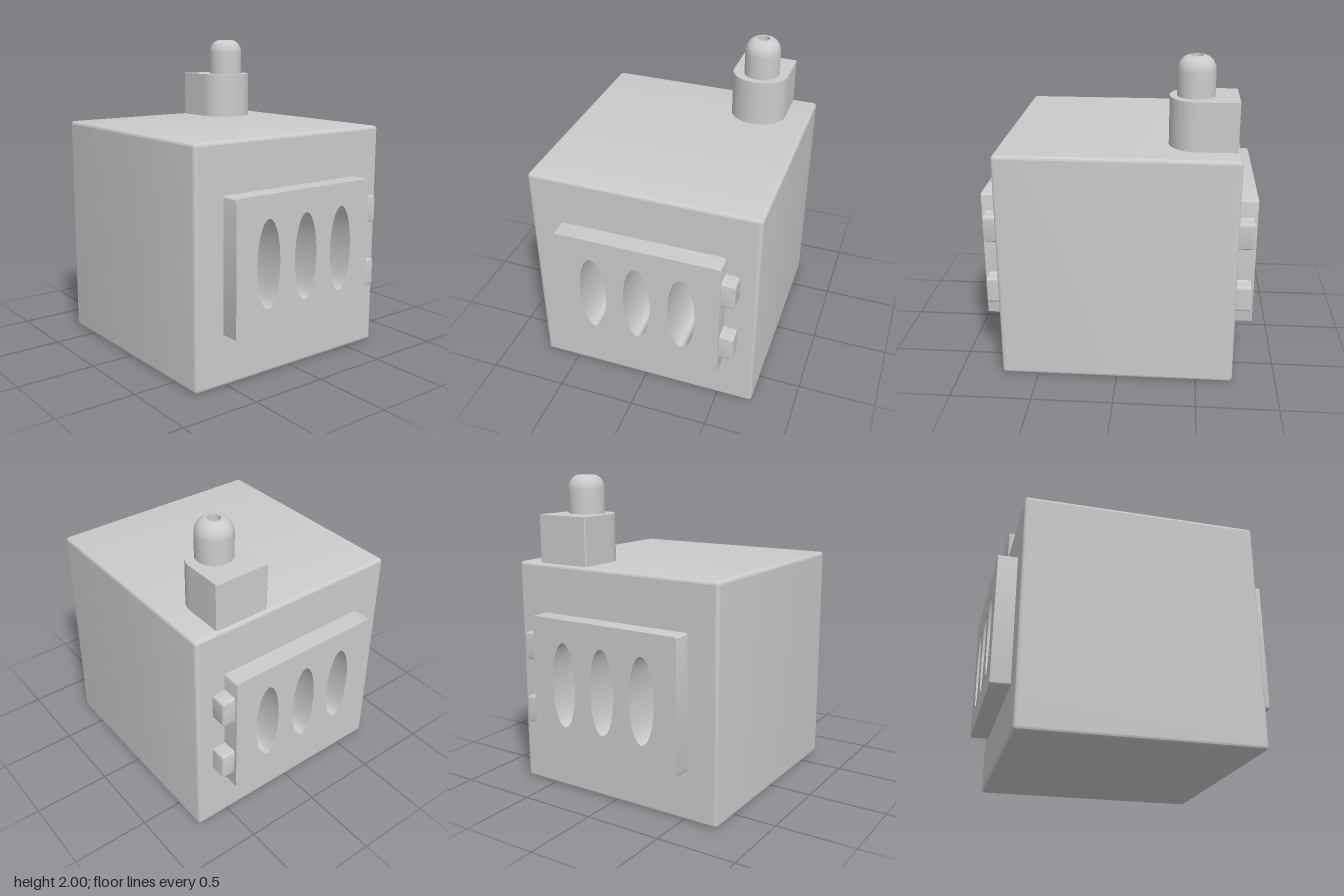
import * as THREE from 'three';
import { toCreasedNormals } from 'three/addons/utils/BufferGeometryUtils.js';

const HALF = 0.73, ROUND = 0.022, PANEL_OUT = 0.85, MID_Y = 0.735;
const SLOTS = [-0.29, 0, 0.29], SLOT_W = 0.087, SLOT_H = 0.27;

// Rounded rectangle outline from its corners
function roundRect(x0, y0, x1, y1, r) {
  const s = new THREE.Shape();
  s.absarc(x1 - r, y0 + r, r, -Math.PI / 2, 0);
  s.absarc(x1 - r, y1 - r, r, 0, Math.PI / 2);
  s.absarc(x0 + r, y1 - r, r, Math.PI / 2, Math.PI);
  s.absarc(x0 + r, y0 + r, r, Math.PI, Math.PI * 1.5);
  s.closePath();
  return s;
}

// Cut the three elliptical slots into a side outline
function addSlots(shape) {
  for (const u of SLOTS) {
    const hole = new THREE.Path();
    hole.absellipse(u, MID_Y, SLOT_W, SLOT_H, 0, Math.PI * 2, true);
    shape.holes.push(hole);
  }
  return shape;
}

// Extrude a side outline (u = -z, v = y) along x from x0 to x1
function extrudeX(shape, x0, x1, bevel = 0) {
  const g = new THREE.ExtrudeGeometry(shape, {
    depth: x1 - x0 - 2 * bevel, curveSegments: 24, bevelEnabled: bevel > 0,
    bevelSize: bevel, bevelThickness: bevel, bevelOffset: -bevel, bevelSegments: 4,
  });
  g.translate(0, 0, x0 + bevel);
  g.rotateY(Math.PI / 2);
  return g;
}

export function createModel() {
  const model = new THREE.Group();
  model.name = 'slottedBox';
  const grey = new THREE.MeshStandardMaterial({ color: 0xcccccc });
  const inside = new THREE.MeshStandardMaterial({ color: 0xcccccc, side: THREE.BackSide });
  const add = (name, geometry, material = grey, parent = model) => {
    const mesh = new THREE.Mesh(geometry, material);
    mesh.name = name;
    parent.add(mesh);
    return mesh;
  };
  const crease = (g, a = 0.5) => toCreasedNormals(g, a);

  // Body: rounded walls only, the end faces are added with their slots
  const full = extrudeX(roundRect(-HALF, 0, HALF, 2 * HALF, ROUND), -HALF, HALF, ROUND);
  const walls = new THREE.BufferGeometry();
  const { start, count } = full.groups[1];
  walls.setAttribute('position', new THREE.BufferAttribute(
    full.attributes.position.array.slice(start * 3, (start + count) * 3), 3));
  add('bodyWalls', crease(walls));
  for (const side of [1, -1]) {
    const e = HALF - ROUND;
    const face = addSlots(new THREE.Shape([
      new THREE.Vector2(-e, ROUND), new THREE.Vector2(e, ROUND),
      new THREE.Vector2(e, 2 * HALF - ROUND), new THREE.Vector2(-e, 2 * HALF - ROUND)]));
    const end = add('bodyEnd', new THREE.ShapeGeometry(face, 24));
    end.rotation.y = side * Math.PI / 2;
    end.position.x = side * HALF;
  }

  // Tunnels running right through the body
  for (const u of SLOTS) {
    const tunnel = new THREE.CylinderGeometry(1, 1, 2 * HALF, 48, 1, true);
    tunnel.rotateZ(Math.PI / 2);
    tunnel.scale(1, SLOT_H, SLOT_W);
    tunnel.translate(0, MID_Y, -u);
    add('slotTunnel', tunnel, inside);
  }

  // Hinge outline: flared root against the panel, rounded tip
  const hingeShape = (y0, y1) => {
    const s = new THREE.Shape();
    s.moveTo(0.50, y0 - 0.012);
    s.lineTo(0.528, y0 - 0.012);
    s.quadraticCurveTo(0.532, y0, 0.55, y0);
    s.lineTo(0.598, y0);
    s.quadraticCurveTo(0.616, y0, 0.616, y0 + 0.02);
    s.lineTo(0.616, y1 - 0.02);
    s.quadraticCurveTo(0.616, y1, 0.598, y1);
    s.lineTo(0.55, y1);
    s.quadraticCurveTo(0.532, y1, 0.528, y1 + 0.012);
    s.lineTo(0.50, y1 + 0.012);
    s.closePath();
    return s;
  };

  // Slotted panel with two hinges on each side
  for (const side of [1, -1]) {
    const door = new THREE.Group();
    door.name = side > 0 ? 'leftPanel' : 'rightPanel';
    model.add(door);
    const span = (a, b) => (side > 0 ? [a, b] : [-b, -a]);
    const plate = addSlots(roundRect(-0.53, 0.32, 0.53, 1.15, 0.014));
    add('panelPlate', crease(extrudeX(plate, ...span(HALF, PANEL_OUT))), grey, door);
    for (const y of [0.44, 0.86]) {
      const hinge = extrudeX(hingeShape(y, y + 0.17), ...span(0.70, 0.83), 0.008);
      add('hinge', crease(hinge), grey, door);
    }
  }

  // Bracket on top: square at the outer side, round towards the middle
  const cz = 0.3875, rz = 0.182, c = 0.008;
  const d = new THREE.Shape();
  d.moveTo(-0.71 + c, cz - rz);
  d.lineTo(-0.46, cz - rz);
  d.absellipse(-0.46, cz, 0.163, rz, -Math.PI / 2, Math.PI / 2);
  d.lineTo(-0.71 + c, cz + rz);
  d.lineTo(-0.71, cz + rz - c);
  d.lineTo(-0.71, cz - rz + c);
  d.closePath();
  const bracket = new THREE.ExtrudeGeometry(d, { depth: 0.31, bevelEnabled: false, curveSegments: 32 });
  bracket.rotateX(-Math.PI / 2);
  bracket.translate(0, 1.45, 0);
  add('bracket', crease(bracket));

  // Round post with a domed end and a small bore
  const profile = [[0, 1.93], [0.038, 1.93], [0.038, 2]].map(([x, y]) => new THREE.Vector2(x, y));
  for (let i = 0; i <= 10; i++) {
    const a = (i / 10) * Math.PI / 2;
    profile.push(new THREE.Vector2(0.042 + 0.072 * Math.sin(a), 1.91 + 0.09 * Math.cos(a)));
  }
  profile.push(new THREE.Vector2(0.114, 1.75));
  const post = new THREE.LatheGeometry(profile.reverse(), 48);
  post.translate(-0.455, 0, -0.393);
  add('post', crease(post));

  return model;
}
